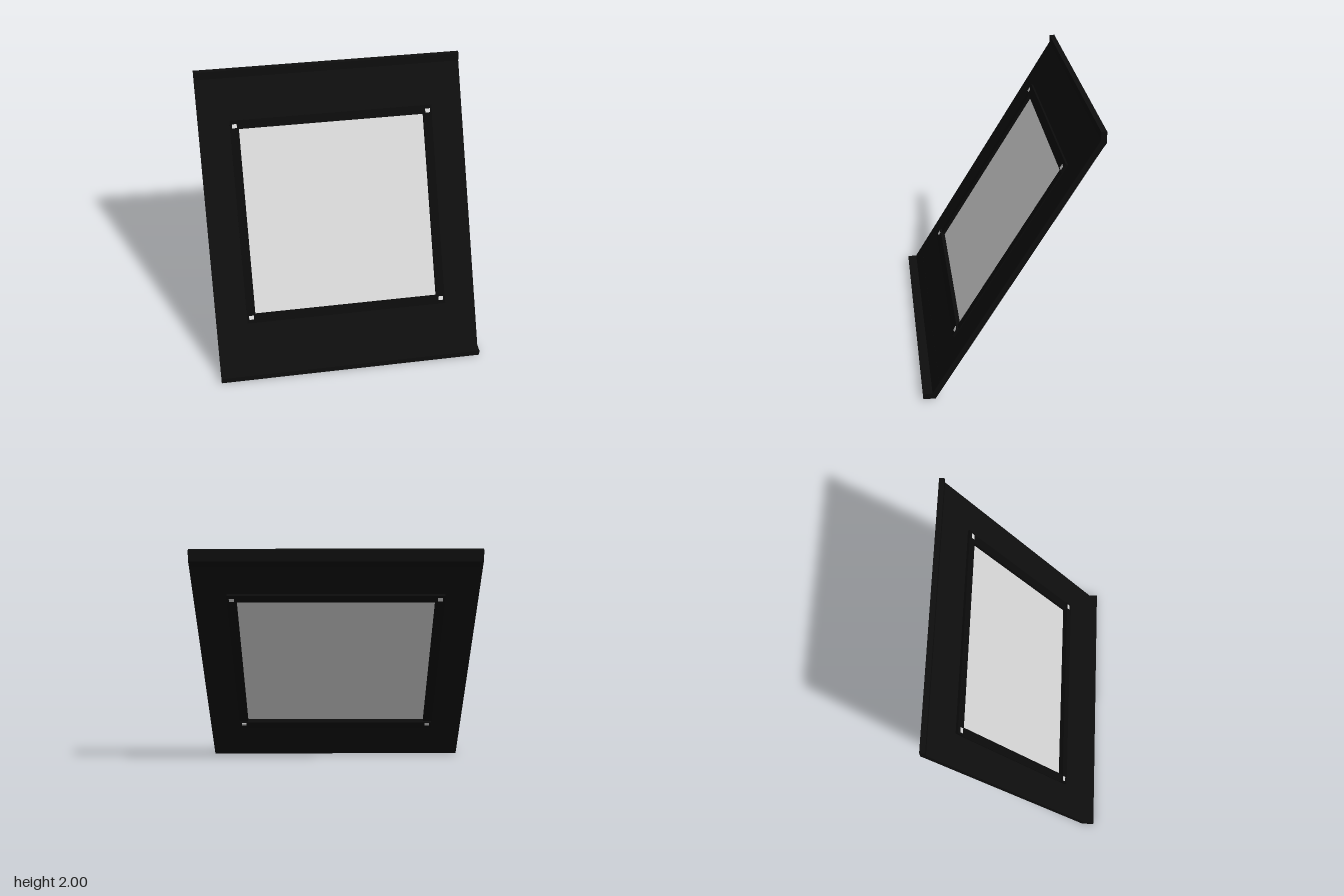
import * as THREE from 'three';

export function createModel() {
  const model = new THREE.Group();
  model.name = 'slopedWindowPanel';
  const panelBlack = new THREE.MeshStandardMaterial({ color: 0x0e0e0e });
  panelBlack.name = 'panelBlack';
  const frameBlack = new THREE.MeshStandardMaterial({ color: 0x0b0b0b });
  frameBlack.name = 'frameBlack';
  const paleGrey = new THREE.MeshStandardMaterial({ color: 0xd8d8d8 });
  paleGrey.name = 'paleGrey';

  // Everything on the slope: local x across, y up the slope, z out of the face
  const slope = new THREE.Group();
  slope.name = 'slope';
  slope.position.set(0, 1, -0.041);
  slope.rotation.x = -0.538;
  model.add(slope);

  const add = (parent, name, geometry, material) => {
    const mesh = new THREE.Mesh(geometry, material);
    mesh.name = name;
    parent.add(mesh);
    return mesh;
  };
  const box = (name, w, h, d, x, y, material) =>
    add(slope, name, new THREE.BoxGeometry(w, h, d), material).position.set(x, y, 0);
  const rect = (Type, w, h) => {
    const p = new Type();
    p.moveTo(-w, -h);
    p.lineTo(w, -h);
    p.lineTo(w, h);
    p.lineTo(-w, h);
    p.closePath();
    return p;
  };

  // Slab with a square opening
  const slab = rect(THREE.Shape, 1, 1.04);
  slab.holes.push(rect(THREE.Path, 0.72, 0.72));
  const slabGeometry = new THREE.ExtrudeGeometry(slab, { depth: 0.0412, bevelEnabled: false });
  slabGeometry.translate(0, 0, -0.0206);
  add(slope, 'panel', slabGeometry, panelBlack);

  // Bent lips along the bottom and top, as (z, y) profiles run across x
  const lip = (name, points) => {
    const shape = new THREE.Shape(points.map(([z, y]) => new THREE.Vector2(z, y)));
    const g = new THREE.ExtrudeGeometry(shape, { depth: 2, bevelEnabled: false });
    g.rotateY(-Math.PI / 2).translate(1, 0, 0);
    add(model, name, g, panelBlack);
  };
  lip('bottomLip', [[0.532, 0], [0.62, 0], [0.62, 0.042], [0.553, 0.045], [0.5024, 0.13], [0.4544, 0.13]]);
  lip('topLip', [[-0.584, 1.87], [-0.536, 1.87], [-0.578, 1.94], [-0.578, 2], [-0.617, 2], [-0.617, 1.92]]);

  // Window pane
  box('pane', 1.42, 1.42, 0.008, 0, 0, paleGrey);

  // Frame: thick rails above and below, thinner stiles at the sides
  for (const side of [-1, 1]) {
    box(side > 0 ? 'topRail' : 'bottomRail', 1.53, 0.066, 0.08, 0, side * 0.733, frameBlack);
    box(side > 0 ? 'leftStile' : 'rightStile', 0.066, 1.4, 0.054, side * 0.733, 0, frameBlack);
    // Corner pins, showing on both faces
    for (const end of [-1, 1]) box('cornerPin', 0.036, 0.03, 0.083, side * 0.732, end * 0.7235, paleGrey);
  }
  return model;
}
